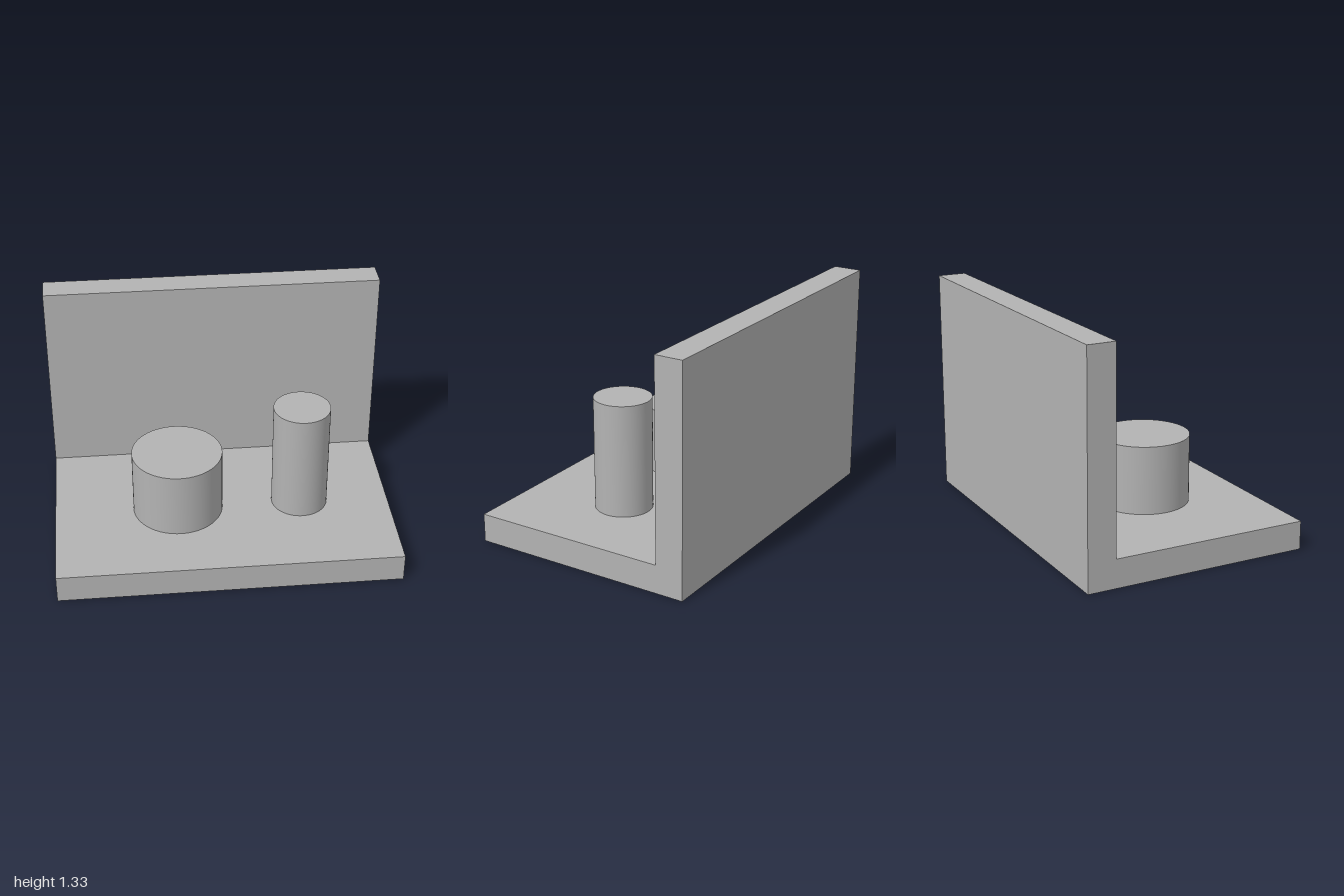
import * as THREE from 'three';

const U = 1 / 30; // design unit: the bracket is 60 x 40 x 40 units

export function createModel() {
  const model = new THREE.Group();
  model.name = 'bracketWithPegs';
  const grey = new THREE.MeshStandardMaterial({ color: 0xb3b3b3 });
  grey.name = 'plain grey';

  // L-shaped bracket: base plate and back wall as one side profile, extruded across x
  const profile = new THREE.Shape(
    [[-20, 0], [20, 0], [20, 40], [15, 40], [15, 5], [-20, 5]]
      .map(([s, y]) => new THREE.Vector2(s * U, y * U))
  );
  const bracketGeometry = new THREE.ExtrudeGeometry(profile, { depth: 60 * U, bevelEnabled: false });
  bracketGeometry.translate(0, 0, -30 * U).rotateY(Math.PI / 2);
  const bracket = new THREE.Mesh(bracketGeometry, grey);
  bracket.name = 'bracket';
  model.add(bracket);

  // Round pegs standing on the base plate
  const addPeg = (name, x, radius, height) => {
    const peg = new THREE.Mesh(new THREE.CylinderGeometry(radius * U, radius * U, height * U, 64), grey);
    peg.position.set(x * U, (5 + height / 2) * U, 2 * U);
    peg.name = name;
    model.add(peg);
  };
  addPeg('widePeg', -8, 8, 12);
  addPeg('tallPeg', 14, 5, 20);

  return model;
}
